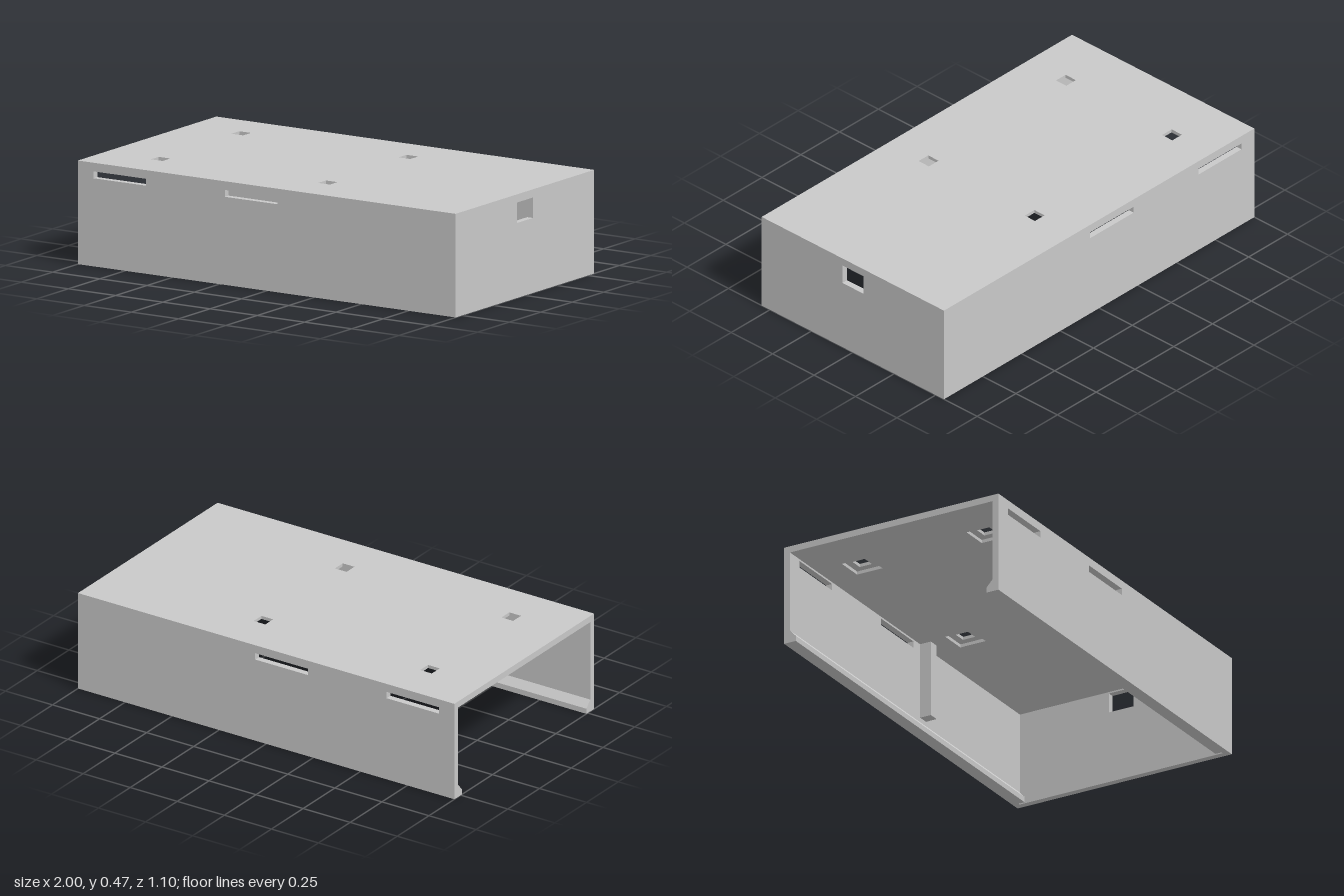
import * as THREE from 'three';

const X = 1, Z = 0.55, H = 0.467, T = 0.03; // half length, half depth, height, wall
const HOLES_X = [-0.715, 0.17], HOLES_Z = [-0.32, 0.32];

// Flat plate in the shape's plane, with rectangular holes [x0, y0, x1, y1]
function rect(Kind, x0, y0, x1, y1) {
  const s = new Kind();
  s.moveTo(x0, y0).lineTo(x1, y0).lineTo(x1, y1).lineTo(x0, y1).closePath();
  return s;
}
function plate(bounds, holes, depth) {
  const shape = rect(THREE.Shape, ...bounds);
  shape.holes = holes.map((h) => rect(THREE.Path, ...h));
  return new THREE.ExtrudeGeometry(shape, { depth, bevelEnabled: false });
}

export function createModel() {
  const group = new THREE.Group();
  const grey = new THREE.MeshStandardMaterial({ color: 0xc8c8c8 });
  grey.name = 'light grey plastic';
  const add = (name, geometry) => {
    const mesh = new THREE.Mesh(geometry, grey);
    mesh.name = name;
    group.add(mesh);
    return mesh;
  };

  // Top panel in two layers: small square holes above, wider pockets below
  const squares = (r) => HOLES_X.flatMap((x) => HOLES_Z.map((z) => [x - r, z - r, x + r, z + r]));
  const layers = [['topPanel', 0.031, H], ['pocketLayer', 0.065, H - T / 2]];
  for (const [name, r, top] of layers) {
    const g = plate([-X, -Z, X, Z], squares(r), T / 2);
    g.rotateX(Math.PI / 2);
    add(name, g).position.y = top;
  }

  // End wall with its square window; the opposite end stays open
  const end = plate([-Z + T, 0, Z - T, H - T], [[-0.063, 0.338, 0.063, 0.43]], T);
  end.rotateY(Math.PI / 2);
  add('endWall', end).position.x = X - T;

  // Long walls with slots, bottom snap lips and inner stop posts
  const slots = [[-0.917, 0.397, -0.64, 0.428], [-0.222, 0.397, 0.058, 0.428]];
  for (const side of [1, -1]) {
    const label = side > 0 ? 'front' : 'back';
    add(label + 'Wall', plate([-X, 0, X, H - T], slots, T)).position.z = side > 0 ? Z - T : -Z;

    const inner = side * (Z - T);
    const lip = new THREE.Shape();
    // Shape x becomes -z after the turn
    lip.moveTo(-inner, 0).lineTo(-inner + side * 0.03, 0)
      .lineTo(-inner + side * 0.03, 0.025).lineTo(-inner, 0.058).closePath();
    const lipGeo = new THREE.ExtrudeGeometry(lip, { depth: 2 * X - 0.04, bevelEnabled: false });
    lipGeo.rotateY(Math.PI / 2);
    add(label + 'Lip', lipGeo).position.x = -X;

    add(label + 'Post', new THREE.BoxGeometry(0.05, H - T - 0.08, 0.055))
      .position.set(0.14, (H - T + 0.08) / 2, side * (Z - T - 0.0275));
  }
  return group;
}
